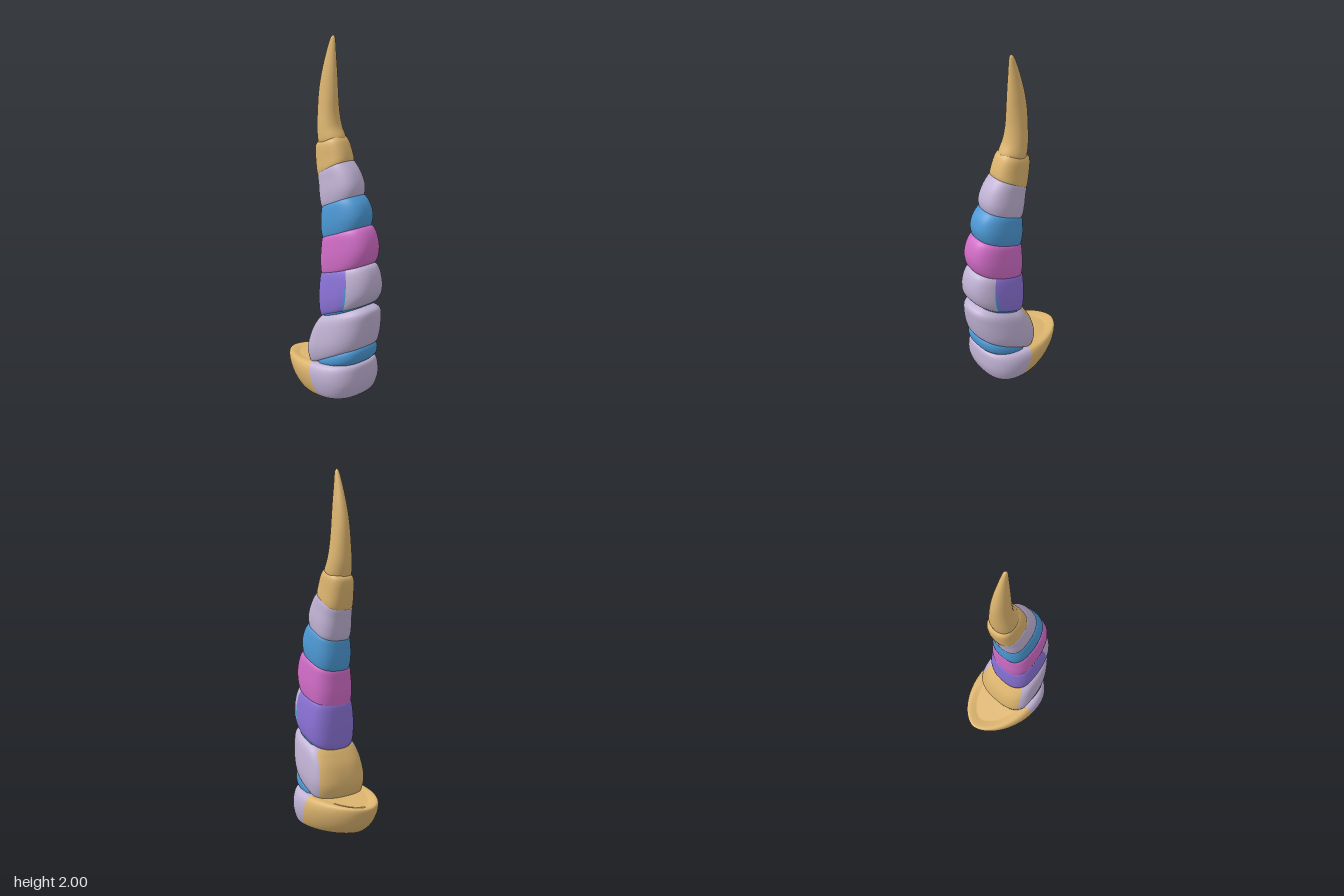
import * as THREE from 'three';

const COLS = 80, SUB = 6;

const flat = (name, color) => {
  const m = new THREE.MeshStandardMaterial({ color });
  m.name = name;
  return m;
};

// Smooth interpolation of ring settings
function spline(rings, t) {
  const i = Math.min(Math.floor(t), rings.length - 2), f = t - i;
  const at = k => rings[Math.max(0, Math.min(rings.length - 1, k))];
  const [a, b, c, d] = [at(i - 1), at(i), at(i + 1), at(i + 2)];
  return b.map((v, k) => {
    const m0 = (c[k] - a[k]) / 2, m1 = (d[k] - b[k]) / 2, g = f * f, h = g * f;
    return (2 * h - 3 * g + 1) * v + (h - 2 * g + f) * m0 + (3 * g - 2 * h) * c[k] + (h - g) * m1;
  });
}

// Loft of tilted rounded rings: [yFront, yBack, zFront, zBack, halfWidth, zWidest]
// pick(angle from front in degrees, height share) chooses the material
function loft(name, rings, materials, pick = () => 0, nFront = 2.6, nBack = 2.6) {
  const rows = (rings.length - 1) * SUB, pos = [];
  const lists = materials.map(() => []);
  const power = (v, n) => Math.sign(v) * Math.pow(Math.abs(v), 2 / n);
  for (let i = 0; i <= rows; i++) {
    const [yF, yB, zF, zB, w, zc] = spline(rings, i / SUB);
    for (let j = 0; j < COLS; j++) {
      const a = j / COLS * Math.PI * 2, c = Math.cos(a);
      const n = c >= 0 ? nFront : nBack;
      const z = zc + power(c, n) * (c >= 0 ? zF - zc : zc - zB);
      pos.push(w * power(Math.sin(a), n), yB + (yF - yB) * (z - zB) / (zF - zB), z);
    }
  }
  for (const r of [rings[0], rings[rings.length - 1]]) {
    const s = (r[5] - r[3]) / (r[2] - r[3]);
    pos.push(0, r[1] + (r[0] - r[1]) * s, r[5]);
  }
  const bottom = (rows + 1) * COLS, top = bottom + 1;
  for (let j = 0; j < COLS; j++) {
    const k = (j + 1) % COLS, deg = (j + 0.5) / COLS * 360;
    const angle = Math.min(deg, 360 - deg);
    for (let i = 0; i < rows; i++) {
      const p = i * COLS, q = p + COLS;
      lists[pick(angle, i / rows)].push(p + j, p + k, q + j, p + k, q + k, q + j);
    }
    lists[pick(angle, 0)].push(bottom, k, j);
    lists[pick(angle, 1)].push(top, rows * COLS + j, rows * COLS + k);
  }
  const geo = new THREE.BufferGeometry();
  geo.setAttribute('position', new THREE.Float32BufferAttribute(pos, 3));
  geo.setIndex(lists.flat());
  let start = 0;
  lists.forEach((l, m) => { geo.addGroup(start, l.length, m); start += l.length; });
  geo.computeVertexNormals();
  const mesh = new THREE.Mesh(geo, materials);
  mesh.name = name;
  return mesh;
}

export function createModel() {
  const lilac = flat('lilac', 0xc0b2d4), tan = flat('tan', 0xdcb46e), blue = flat('blue', 0x4c98d4);
  const pink = flat('magenta', 0xd06cc6), purple = flat('purple', 0x8a72d6);
  const g = new THREE.Group();
  g.name = 'segmentedHorn';

  // Foot with a tan heel stretching backwards
  g.add(loft('foot', [
    [0.005, 0.01, 0.18, -0.17, 0.14, 0.06],
    [0.02, 0.01, 0.22, -0.21, 0.185, 0.055],
    [0.09, 0.06, 0.248, -0.265, 0.209, 0.035],
    [0.16, 0.13, 0.25, -0.303, 0.212, 0.01],
    [0.205, 0.175, 0.24, -0.308, 0.19, 0],
    [0.22, 0.165, 0.2, -0.24, 0.14, 0],
  ], [lilac, tan], a => (a > 90 ? 1 : 0), 2.6, 1.8));

  // Blue wedge between foot and lower body
  g.add(loft('lowerBand', [
    [0.2, 0.17, 0.21, 0, 0.14, 0.08],
    [0.24, 0.18, 0.255, -0.01, 0.165, 0.07],
    [0.3, 0.2, 0.262, -0.01, 0.165, 0.07],
    [0.34, 0.22, 0.22, 0, 0.14, 0.08],
  ], [blue]));

  // Lower body with a tan back
  g.add(loft('lowerBody', [
    [0.3, 0.16, 0.21, -0.06, 0.14, 0.03],
    [0.315, 0.17, 0.26, -0.08, 0.168, 0.03],
    [0.37, 0.25, 0.283, -0.1, 0.18, 0.03],
    [0.46, 0.35, 0.298, -0.078, 0.17, 0.05],
    [0.525, 0.42, 0.295, -0.04, 0.153, 0.07],
    [0.55, 0.46, 0.24, -0.01, 0.12, 0.08],
  ], [lilac, tan], a => (a > 126 ? 1 : 0), 2.5, 2.6));

  // Middle body: lilac front, purple back, blue slip at the seam
  g.add(loft('middleBody', [
    [0.545, 0.43, 0.22, -0.01, 0.11, 0.09],
    [0.56, 0.46, 0.265, -0.03, 0.138, 0.09],
    [0.62, 0.54, 0.305, -0.036, 0.147, 0.09],
    [0.7, 0.63, 0.308, -0.036, 0.142, 0.09],
    [0.77, 0.7, 0.28, -0.03, 0.128, 0.09],
    [0.79, 0.73, 0.23, 0, 0.1, 0.09],
  ], [lilac, purple, blue], (a, t) => (a < 63 ? 0 : a < 67.5 && t < 0.55 ? 2 : 1)));

  // Thin blue ring below the middle body
  g.add(loft('middleBand', [
    [0.53, 0.44, 0.23, 0, 0.125, 0.09],
    [0.55, 0.46, 0.252, 0, 0.136, 0.09],
    [0.57, 0.48, 0.23, 0, 0.125, 0.09],
  ], [blue]));

  // Plain stacked segments
  g.add(loft('magentaSegment', [
    [0.77, 0.66, 0.22, 0, 0.1, 0.09],
    [0.79, 0.685, 0.268, -0.026, 0.125, 0.09],
    [0.86, 0.76, 0.29, -0.035, 0.131, 0.09],
    [0.93, 0.84, 0.282, -0.033, 0.126, 0.09],
    [0.985, 0.895, 0.25, -0.028, 0.116, 0.09],
    [1.0, 0.91, 0.2, 0, 0.09, 0.09],
  ], [pink]));
  g.add(loft('blueSegment', [
    [0.965, 0.88, 0.19, 0, 0.09, 0.08],
    [0.985, 0.895, 0.232, -0.028, 0.11, 0.08],
    [1.05, 0.96, 0.247, -0.041, 0.117, 0.08],
    [1.11, 1.03, 0.23, -0.041, 0.112, 0.075],
    [1.15, 1.07, 0.195, -0.036, 0.102, 0.07],
    [1.165, 1.085, 0.16, -0.01, 0.08, 0.07],
  ], [blue]));
  g.add(loft('lilacSegment', [
    [1.13, 1.05, 0.15, -0.01, 0.08, 0.06],
    [1.15, 1.07, 0.184, -0.04, 0.099, 0.05],
    [1.21, 1.13, 0.191, -0.056, 0.104, 0.05],
    [1.28, 1.19, 0.162, -0.066, 0.098, 0.04],
    [1.335, 1.24, 0.115, -0.074, 0.09, 0.02],
    [1.345, 1.25, 0.09, -0.05, 0.07, 0.01],
  ], [lilac]));

  // Horn root and long curved tip
  g.add(loft('hornRoot', [
    [1.32, 1.225, 0.09, -0.05, 0.07, 0.01],
    [1.335, 1.24, 0.114, -0.075, 0.089, 0.01],
    [1.38, 1.32, 0.107, -0.093, 0.085, 0],
    [1.44, 1.4, 0.082, -0.1, 0.078, -0.01],
    [1.47, 1.43, 0.055, -0.08, 0.06, -0.01],
  ], [tan]));
  g.add(loft('hornTip', [
    [1.42, 1.39, 0.06, -0.075, 0.06, -0.02],
    [1.46, 1.43, 0.068, -0.086, 0.072, -0.02],
    [1.52, 1.5, 0.039, -0.097, 0.067, -0.03],
    [1.6, 1.59, 0.024, -0.099, 0.057, -0.035],
    [1.7, 1.7, 0.021, -0.095, 0.046, -0.035],
    [1.8, 1.8, 0.018, -0.078, 0.036, -0.028],
    [1.9, 1.9, 0.014, -0.051, 0.023, -0.018],
    [1.97, 1.97, 0.011, -0.026, 0.014, -0.008],
    [1.992, 1.992, 0.007, -0.015, 0.009, -0.004],
    [2, 2, 0.001, -0.006, 0.002, -0.002],
  ], [tan], undefined, 2.1, 2.1));

  return g;
}
